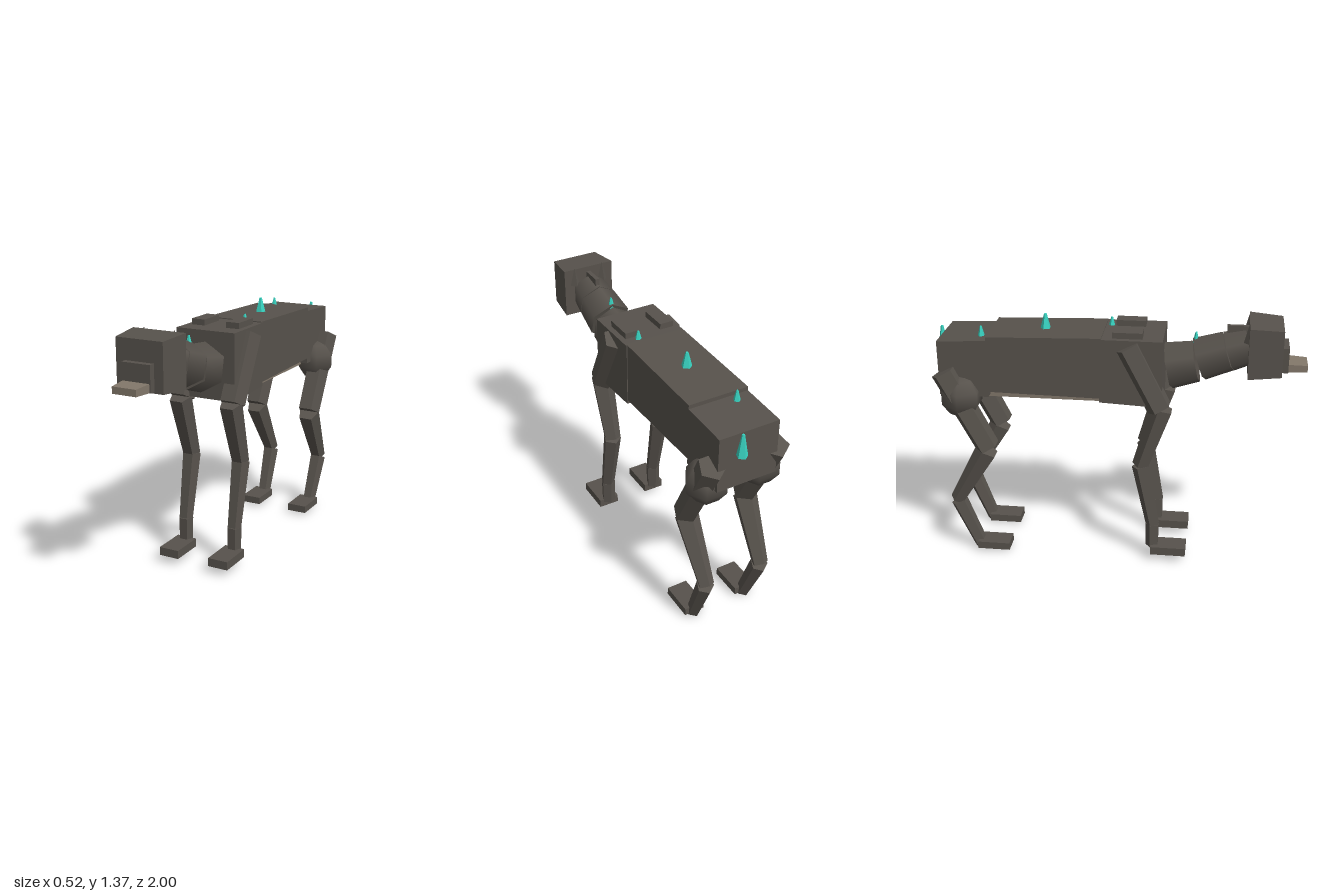
import * as THREE from 'three';

export function createModel() {
  const model = new THREE.Group();
  const mat = (name, color, flatShading = true) => {
    const m = new THREE.MeshStandardMaterial({ color, flatShading });
    m.name = name;
    return m;
  };
  const hide = mat('dark hide', 0x57524c);
  const hideSmooth = mat('dark hide smooth', 0x57524c, false);
  const pale = mat('pale underside', 0x82776a);
  const teal = mat('teal crystal', 0x38d2c0);

  const add = (name, geo, material, parent = model) => {
    const mesh = new THREE.Mesh(geo, material);
    mesh.name = name;
    parent.add(mesh);
    return mesh;
  };

  // Box from min and max corners
  const block = (name, [x0, y0, z0], [x1, y1, z1], material = hide, parent = model) => {
    const mesh = add(name, new THREE.BoxGeometry(x1 - x0, y1 - y0, z1 - z0), material, parent);
    mesh.position.set((x0 + x1) / 2, (y0 + y1) / 2, (z0 + z1) / 2);
    return mesh;
  };

  // Loft between two upright rectangles: [z, halfWidth, yBottom, yTop]
  const loft = (name, front, back, material = hide) => {
    const geo = new THREE.BoxGeometry(2, 1, 1);
    const p = geo.attributes.position;
    for (let i = 0; i < p.count; i++) {
      const [z, w, lo, hi] = p.getZ(i) > 0 ? front : back;
      p.setXYZ(i, p.getX(i) * w, p.getY(i) > 0 ? hi : lo, z);
    }
    geo.computeVertexNormals();
    return add(name, geo, material);
  };

  // Tapered prism running from a to b
  const limb = (name, a, b, r1, r2, sides = 5, material = hide, parent = model) => {
    const from = new THREE.Vector3(...a), dir = new THREE.Vector3(...b).sub(from);
    const geo = new THREE.CylinderGeometry(r2, r1, dir.length(), sides).rotateX(Math.PI);
    const mesh = add(name, geo, material, parent);
    mesh.position.copy(from).addScaledVector(dir, 0.5);
    mesh.quaternion.setFromUnitVectors(new THREE.Vector3(0, -1, 0), dir.normalize());
    return mesh;
  };

  // Torso
  loft('chest', [0.25, 0.172, 0.93, 1.295], [-0.08, 0.17, 0.945, 1.295]);
  loft('midBody', [-0.07, 0.166, 0.965, 1.3], [-0.68, 0.166, 0.975, 1.283]);
  loft('rump', [-0.68, 0.166, 0.945, 1.262], [-0.945, 0.166, 0.95, 1.25]);
  block('belly', [-0.12, 0.932, -0.7], [0.12, 0.985, 0.18], pale);

  // Neck
  limb('neckBase', [0, 1.105, 0.272], [0, 1.136, 0.42], 0.133, 0.117, 6, hideSmooth);
  limb('neckMiddle', [0, 1.15, 0.435], [0, 1.2, 0.585], 0.122, 0.112, 6, hideSmooth);
  limb('neckTop', [0, 1.2, 0.59], [0, 1.235, 0.7], 0.112, 0.1, 6, hideSmooth);
  block('neckFin', [-0.012, 1.27, 0.575], [0.012, 1.345, 0.69]);

  // Head
  loft('head', [0.866, 0.13, 1.112, 1.362], [0.69, 0.148, 1.1, 1.374]);
  block('snout', [-0.08, 1.12, 0.85], [0.08, 1.255, 0.9]);
  loft('jaw', [1, 0.066, 1.125, 1.16], [0.86, 0.077, 1.12, 1.167], pale);

  // Mirrored parts
  for (const s of [1, -1]) {
    const side = s > 0 ? 'left' : 'right';
    const x = 0.152 * s;
    limb(side + 'Ear', [0.085 * s, 1.28, 0.69], [0.085 * s, 1.38, 0.69], 0.028, 0.002, 4);
    block(side + 'ShoulderPlate', [0.1025 * s - 0.038, 1.28, -0.015], [0.1025 * s + 0.038, 1.327, 0.143]);

    const front = new THREE.Group();
    front.name = side + 'FrontLeg';
    limb('shoulder', [x, 1.26, 0.066], [x, 0.92, 0.24], 0.073, 0.07, 5, hide, front);
    limb('upperLeg', [x, 0.922, 0.255], [x, 0.578, 0.143], 0.063, 0.048, 5, hide, front);
    limb('lowerLeg', [x, 0.578, 0.144], [x, 0.215, 0.214], 0.051, 0.039, 5, hide, front);
    limb('ankle', [x, 0.218, 0.213], [x, 0.08, 0.213], 0.041, 0.038, 5, hide, front);
    block('frontFoot', [x - 0.058, 0.048, 0.205], [x + 0.058, 0.095, 0.4], hide, front);
    model.add(front);

    const hind = new THREE.Group();
    hind.name = side + 'HindLeg';
    const hip = add('hip', new THREE.SphereGeometry(0.118, 6, 5), hideSmooth, hind);
    hip.position.set(0.15 * s, 0.94, -0.83);
    limb('thigh', [0.178 * s, 1.085, -0.915], [0.176 * s, 0.65, -0.695], 0.072, 0.067, 5, hide, hind);
    limb('shin', [0.176 * s, 0.635, -0.7], [0.165 * s, 0.312, -0.89], 0.065, 0.043, 5, hide, hind);
    limb('hock', [0.165 * s, 0.303, -0.883], [0.157 * s, 0.022, -0.77], 0.048, 0.038, 5, hide, hind);
    block('hindFoot', [0.157 * s - 0.057, 0.022, -0.78], [0.157 * s + 0.057, 0.064, -0.597], hide, hind);
    model.add(hind);
  }

  // Crystals: x, base y, z, height, radius
  const crystals = [
    [0, 1.24, 0.415, 0.06, 0.02],
    [0.08, 1.28, -0.04, 0.06, 0.021],
    [0, 1.285, -0.387, 0.085, 0.03],
    [-0.075, 1.255, -0.722, 0.06, 0.02],
    [0.056, 1.14, -0.973, 0.122, 0.029],
  ];
  crystals.forEach(([x, y, z, h, r], i) =>
    limb('crystal' + (i + 1), [x, y, z], [x, y + h, z], r, r * 0.25, 5, teal));

  return model;
}
